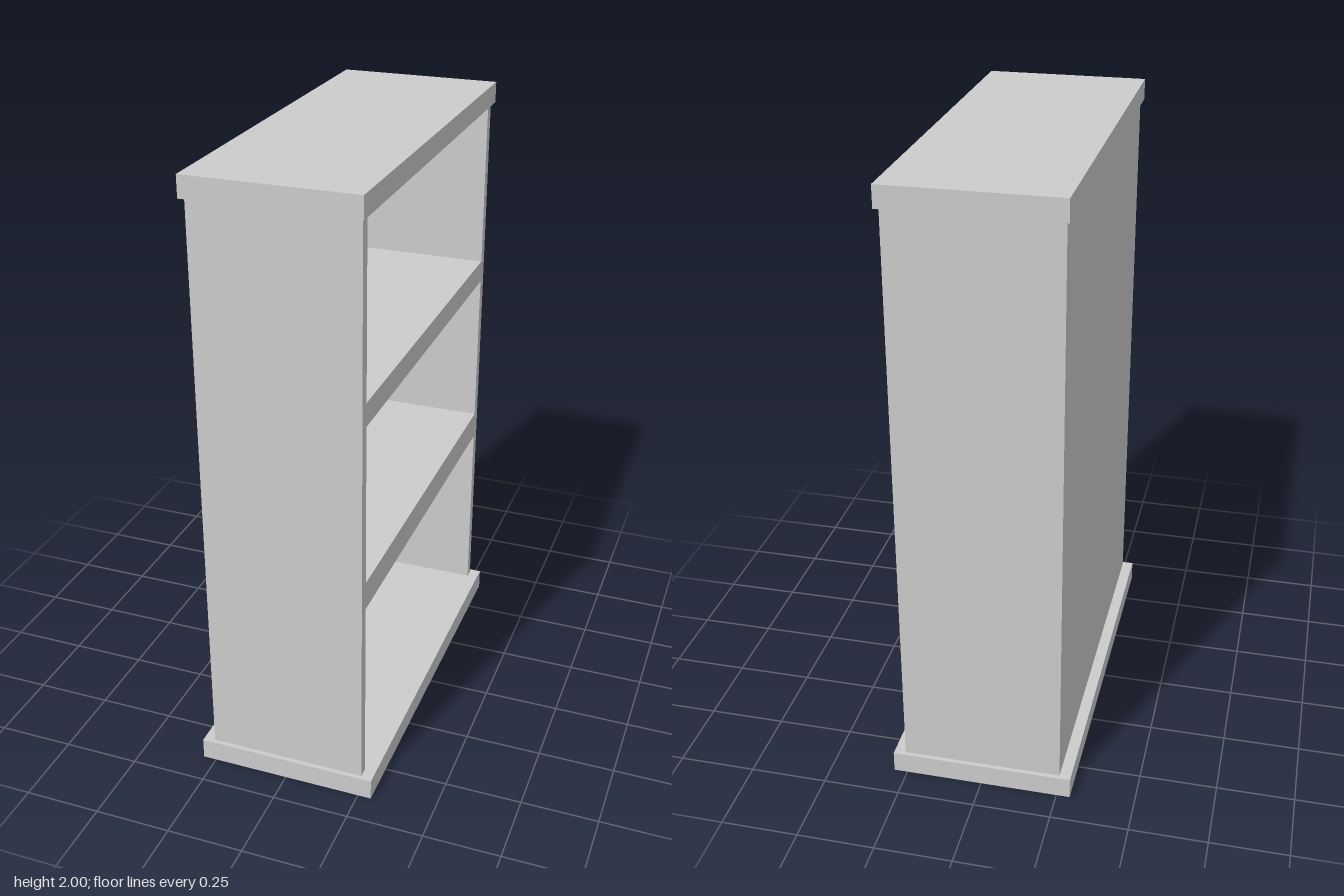
import * as THREE from 'three';

const material = new THREE.MeshStandardMaterial({ color: 0xcccccc });

// Box given by its lower and upper corners
function board(name, [x0, y0, z0], [x1, y1, z1]) {
  const mesh = new THREE.Mesh(new THREE.BoxGeometry(x1 - x0, y1 - y0, z1 - z0), material);
  mesh.position.set((x0 + x1) / 2, (y0 + y1) / 2, (z0 + z1) / 2);
  mesh.name = name;
  return mesh;
}

export function createModel() {
  const group = new THREE.Group();
  group.name = 'bookcase';

  const front = 0.257, outer = 0.634, inner = 0.6, backInner = -0.226;
  const baseTop = 0.07, caseTop = 1.932;

  // Plinth and overhanging top board
  group.add(board('base', [-0.294, 0, -0.648], [0.294, baseTop, 0.648]));
  group.add(board('topBoard', [-0.267, caseTop, -0.655], [0.267, 2, 0.655]));

  // Side walls and back as one U-shaped carcass, open towards +x
  const outline = [
    [-front, -outer], [front, -outer], [front, -inner], [backInner, -inner],
    [backInner, inner], [front, inner], [front, outer], [-front, outer],
  ].map(([x, z]) => new THREE.Vector2(x, z));
  const carcass = new THREE.Mesh(
    new THREE.ExtrudeGeometry(new THREE.Shape(outline), { depth: caseTop - baseTop, bevelEnabled: false }),
    material
  );
  carcass.rotation.x = -Math.PI / 2;
  carcass.position.y = baseTop;
  carcass.name = 'carcass';
  group.add(carcass);

  // Shelves, flush with the open edge
  for (const [bottom, top] of [[0.69, 0.783], [1.307, 1.382]]) {
    group.add(board('shelf', [backInner, bottom, -inner], [front, top, inner]));
  }

  return group;
}
